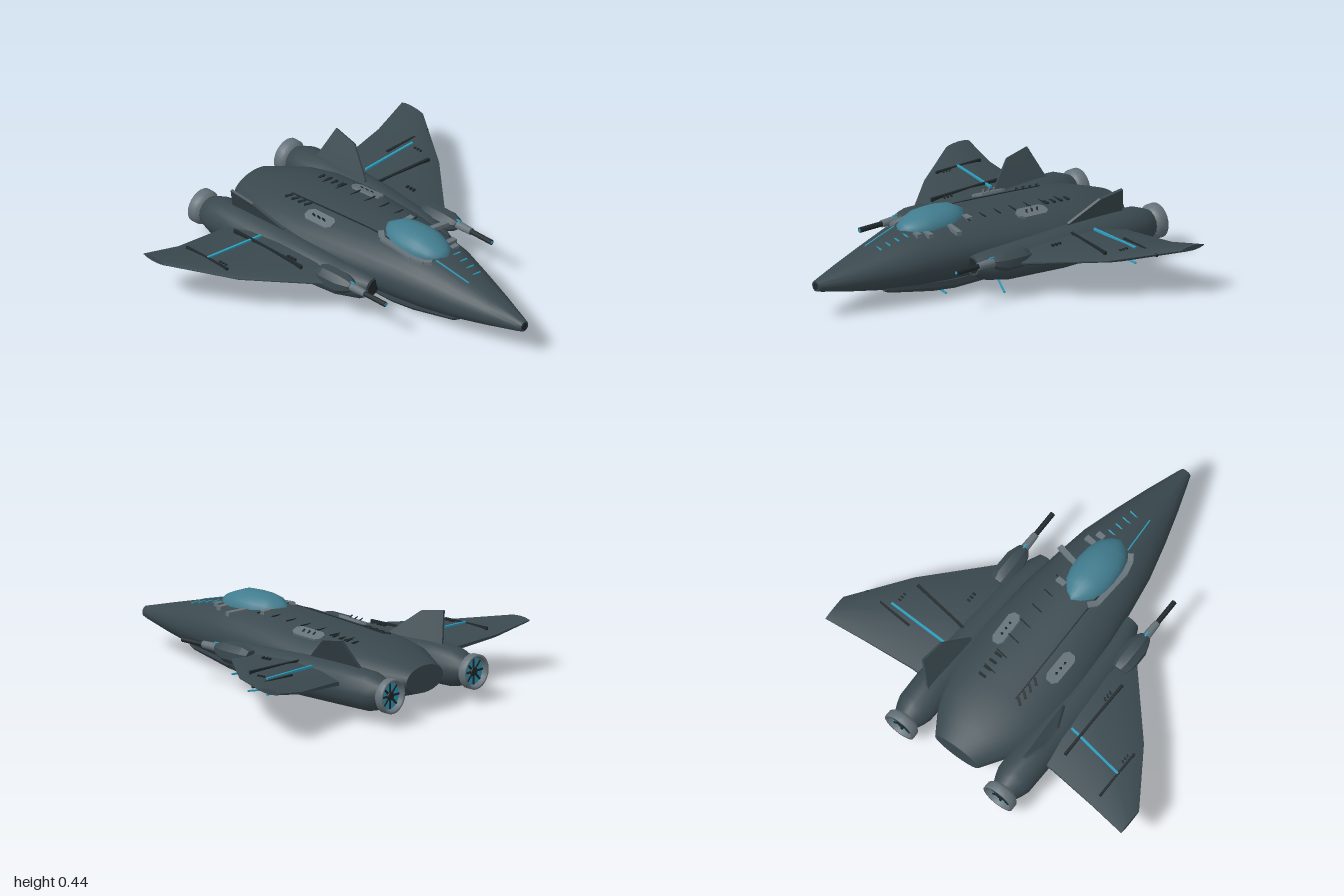
import * as THREE from 'three';
import { toCreasedNormals } from 'three/addons/utils/BufferGeometryUtils.js';

const mat = (name, color, side = THREE.FrontSide) => {
  const m = new THREE.MeshStandardMaterial({ color, side });
  m.name = name;
  return m;
};

// Hull stations: x, half width, bottom y, top y
const HULL = [
  [-0.93, 0.14, 0.12, 0.265], [-0.82, 0.21, 0.085, 0.3], [-0.72, 0.27, 0.065, 0.33], [-0.58, 0.31, 0.06, 0.35],
  [-0.35, 0.32, 0.058, 0.368], [0, 0.28, 0.058, 0.395], [0.23, 0.245, 0.06, 0.395], [0.42, 0.213, 0.07, 0.38],
  [0.62, 0.157, 0.092, 0.328], [0.8, 0.1, 0.125, 0.28], [0.97, 0.04, 0.16, 0.233], [1, 0.028, 0.168, 0.225],
];

// Closed ring of points in the plane at x
function ring(x, cy, cz, ry, rz, n, turn = 0) {
  return Array.from({ length: n }, (_, i) => {
    const a = (i / n) * Math.PI * 2 + turn;
    return [x, cy + ry * Math.sin(a), cz + rz * Math.cos(a)];
  });
}

// Skin a list of rings, cap both ends and turn the faces outward
function loft(rings, crease = 0.6) {
  const n = rings[0].length, pos = rings.flat(2);
  const idx = [];
  for (let s = 0; s < rings.length - 1; s++) for (let i = 0; i < n; i++) {
    const a = s * n + i, b = s * n + (i + 1) % n;
    idx.push(a, b, a + n, b, b + n, a + n);
  }
  const e = (rings.length - 1) * n;
  for (let i = 1; i < n - 1; i++) idx.push(0, i + 1, i, e, e + i, e + i + 1);
  const v = (k) => new THREE.Vector3().fromArray(pos, k * 3);
  let volume = 0;
  for (let i = 0; i < idx.length; i += 3) volume += v(idx[i]).dot(v(idx[i + 1]).cross(v(idx[i + 2])));
  if (volume < 0) idx.reverse();
  const g = new THREE.BufferGeometry();
  g.setAttribute('position', new THREE.Float32BufferAttribute(pos, 3));
  g.setIndex(idx);
  return toCreasedNormals(g, crease);
}

// Height of the upper hull skin
function hullTop(x, z) {
  let i = 0;
  while (i < HULL.length - 2 && HULL[i + 1][0] < x) i++;
  const t = (x - HULL[i][0]) / (HULL[i + 1][0] - HULL[i][0]);
  const [, w, lo, hi] = HULL[i].map((p, k) => THREE.MathUtils.lerp(p, HULL[i + 1][k], t));
  return (lo + hi) / 2 + ((hi - lo) / 2) * Math.sqrt(Math.max(0, 1 - (z / w) ** 2));
}

export function createModel() {
  const hull = mat('hull slate', 0x3a494f);
  const dark = mat('dark trim', 0x20282b);
  const metal = mat('grey metal', 0x66737a);
  const glass = mat('canopy glass', 0x417c8e);
  const glow = mat('cyan light', 0x2a9dbd);

  const model = new THREE.Group();
  const add = (parent, name, geo, m, x = 0, y = 0, z = 0) => {
    const mesh = new THREE.Mesh(geo, m);
    mesh.name = name;
    mesh.position.set(x, y, z);
    parent.add(mesh);
    return mesh;
  };
  // Thin bar between two points
  const bar = (parent, name, a, b, w, h, m) => {
    const A = new THREE.Vector3(...a), B = new THREE.Vector3(...b);
    const mesh = add(parent, name, new THREE.BoxGeometry(w, h, A.distanceTo(B)), m);
    mesh.position.copy(A).add(B).multiplyScalar(0.5);
    mesh.lookAt(B);
    return mesh;
  };
  const tube = (r1, r2, len, n = 16) => new THREE.CylinderGeometry(r2, r1, len, n).rotateZ(-Math.PI / 2);

  // Fuselage and nose cap
  add(model, 'fuselage', loft(HULL.map(([x, w, lo, hi]) => ring(x, (lo + hi) / 2, 0, (hi - lo) / 2, w, 32))), hull);
  add(model, 'noseCap', tube(0.022, 0.02, 0.006), dark, 0.998, 0.196, 0);

  // Canopy
  const canopy = [[0.03, 0.01, 0.395], [0.055, 0.055, 0.41], [0.11, 0.095, 0.44], [0.17, 0.113, 0.447], [0.24, 0.118, 0.449],
    [0.31, 0.112, 0.446], [0.38, 0.09, 0.42], [0.425, 0.055, 0.4], [0.45, 0.01, 0.378]];
  add(model, 'canopy', loft(canopy.map(([x, w, top]) => ring(x, 0.365, 0, top - 0.365, w, 24)), 1), glass);

  for (const s of [1, -1]) {
    const side = new THREE.Group();
    side.name = s > 0 ? 'leftSide' : 'rightSide';
    side.scale.z = s;
    model.add(side);

    // Canopy frame
    const frame = [[0.06, 0.085], [0.1, 0.118], [0.32, 0.126], [0.39, 0.11], [0.425, 0.085]].map(([x, z]) => [x, hullTop(x, z), z]);
    for (let i = 0; i < frame.length - 1; i++) bar(side, 'canopyFrame', frame[i], frame[i + 1], 0.03, 0.022, metal);

    // Hull plate with slots, laid on the hull slope
    const plate = new THREE.Group();
    plate.name = 'hullPlate';
    plate.position.set(-0.285, hullTop(-0.285, 0.175), 0.175);
    plate.rotation.set(Math.atan2(hullTop(-0.285, 0.15) - hullTop(-0.285, 0.2), 0.05), 0, 0.06);
    side.add(plate);
    const outline = new THREE.Shape([[-0.095, -0.018], [-0.07, -0.037], [0.07, -0.037], [0.095, -0.018],
      [0.095, 0.018], [0.07, 0.037], [-0.07, 0.037], [-0.095, 0.018]].map((p) => new THREE.Vector2(...p)));
    add(plate, 'plate', new THREE.ExtrudeGeometry(outline, { depth: 0.016, bevelEnabled: false })
      .rotateX(-Math.PI / 2).translate(0, -0.006, 0), metal);
    for (const x of [-0.035, 0, 0.035])
      bar(plate, 'plateSlot', [x - 0.007, 0.011, 0.016], [x + 0.007, 0.011, -0.016], 0.012, 0.005, dark);

    // Slanted vents and panel seam
    for (let i = 0; i < 4; i++) {
      const x = -0.56 + i * 0.045;
      bar(side, 'vent', [x - 0.012, hullTop(x, 0.14) + 0.002, 0.137], [x + 0.016, hullTop(x, 0.105) + 0.002, 0.103], 0.014, 0.008, dark);
    }
    for (let x = -0.56; x < 0.06; x += 0.1)
      bar(side, 'panelSeam', [x, hullTop(x, 0.097), 0.097], [x + 0.1, hullTop(x + 0.1, 0.097), 0.097], 0.006, 0.006, dark);

    // Nose light lines
    for (let i = 0; i < 4; i++) {
      const p = (k) => { const x = 0.43 + k * 0.053, z = 0.062 - k * 0.0055; return [x, hullTop(x, z), z]; };
      bar(side, 'noseLight', p(i), p(i + 1), 0.007, 0.006, glow);
    }

    // Engine nacelle: x, centre y, centre z, half height, half width
    const nacelle = [[-0.945, 0.175, 0.32, 0.07, 0.07], [-0.9, 0.175, 0.32, 0.09, 0.09], [-0.86, 0.177, 0.32, 0.103, 0.103],
      [-0.7, 0.18, 0.318, 0.108, 0.108], [-0.35, 0.178, 0.318, 0.106, 0.11], [0, 0.175, 0.298, 0.09, 0.095],
      [0.12, 0.18, 0.28, 0.075, 0.072], [0.18, 0.19, 0.268, 0.052, 0.054]];
    add(side, 'nacelle', loft(nacelle.map((n) => ring(...n, 16))), hull);
    add(side, 'intake', tube(0.04, 0.04, 0.01), dark, 0.179, 0.19, 0.268);

    // Exhaust nozzle with glowing core
    const lip = [[0.068, -0.935], [0.078, -0.945], [0.092, -0.96], [0.093, -1], [0.078, -1], [0.07, -0.96]];
    add(side, 'nozzle', new THREE.LatheGeometry(lip.map(([r, x]) => new THREE.Vector2(r, x)).reverse(), 24)
      .rotateZ(-Math.PI / 2), mat2(metal), 0, 0.175, 0.32);
    add(side, 'engineGlow', tube(0.072, 0.072, 0.02, 24), glow, -0.965, 0.175, 0.32);
    add(side, 'engineHub', tube(0.022, 0.026, 0.02), dark, -0.977, 0.175, 0.32);
    for (let i = 0; i < 4; i++)
      add(side, 'engineVane', new THREE.BoxGeometry(0.008, 0.14, 0.01), dark, -0.977, 0.175, 0.32).rotation.x = (i * Math.PI) / 4;

    // Wing sections: z, trailing x, leading x, low y, high y
    const wing = [[0.2, -0.71, 0.2, 0.13, 0.25], [0.455, -0.715, 0, 0.165, 0.265], [0.745, -0.75, -0.32, 0.205, 0.266], [0.96, -0.79, -0.64, 0.266, 0.294]];
    const foil = [[0, 0.2], [0.2, 0.8], [0.45, 1], [0.75, 0.78], [0.92, 0.4], [1, 0.08]];
    add(side, 'wing', loft(wing.map(([z, x0, x1, lo, hi]) => {
      const pt = (up) => ([t, f]) => [x0 + (x1 - x0) * t, (lo + hi) / 2 + up * f * (hi - lo) / 2, z];
      return [...foil.map(pt(1)), ...foil.map(pt(-1)).reverse()];
    }), 0.7), hull);

    // Wing rails, ticks and light lines
    bar(side, 'innerRail', [-0.62, 0.262, 0.465], [-0.14, 0.258, 0.465], 0.014, 0.02, dark);
    bar(side, 'outerRail', [-0.69, 0.262, 0.745], [-0.4, 0.26, 0.745], 0.012, 0.018, dark);
    for (let i = 0; i < 3; i++) {
      bar(side, 'wingTick', [-0.26 + i * 0.022, 0.262, 0.45], [-0.25 + i * 0.022, 0.262, 0.435], 0.009, 0.012, dark);
      bar(side, 'wingTick', [-0.475 + i * 0.02, 0.266, 0.73], [-0.467 + i * 0.02, 0.266, 0.718], 0.008, 0.008, dark);
    }
    bar(side, 'wingLight', [-0.54, 0.268, 0.745], [-0.487, 0.264, 0.405], 0.012, 0.012, glow);
    bar(side, 'wingUnderLight', [-0.54, 0.204, 0.745], [-0.487, 0.165, 0.43], 0.01, 0.008, glow);

    // Canted tail fin
    const fin = [[-0.78, 0.26, 0.303], [-0.71, 0.437, 0.392], [-0.57, 0.412, 0.38], [-0.42, 0.29, 0.305], [-0.44, 0.24, 0.285]];
    add(side, 'tailFin', loft([-0.006, 0.006].map((o) => fin.map(([x, y, z]) => [x, y - o * 0.5, z + o])), 0.3), hull);

    // Gun pod and barrel
    const pod = [[-0.08, 0.23, 0.39, 0.035, 0.045], [-0.04, 0.228, 0.392, 0.055, 0.062], [0.08, 0.23, 0.392, 0.056, 0.06],
      [0.13, 0.235, 0.392, 0.04, 0.042], [0.15, 0.238, 0.394, 0.028, 0.03]];
    add(side, 'gunPod', loft(pod.map((p) => ring(...p, 8, Math.PI / 8)), 0.4), hull);
    add(side, 'gunSleeve', tube(0.024, 0.019, 0.11, 12), metal, 0.19, 0.24, 0.395);
    add(side, 'gunBarrel', tube(0.014, 0.014, 0.155, 12), dark, 0.312, 0.24, 0.395);
    add(side, 'gunMuzzleLight', tube(0.009, 0.009, 0.006, 12), glow, 0.389, 0.24, 0.395);
    add(side, 'podLight', new THREE.BoxGeometry(0.04, 0.008, 0.01), glow, 0.148, 0.264, 0.395);

    // Belly pod with light strip
    const belly = [[-0.7, 0.085, 0.1, 0.02, 0.03], [-0.45, 0.066, 0.092, 0.049, 0.058], [0.18, 0.068, 0.09, 0.05, 0.058],
      [0.32, 0.08, 0.088, 0.047, 0.052], [0.58, 0.112, 0.075, 0.03, 0.034], [0.61, 0.118, 0.074, 0.022, 0.026]];
    add(side, 'bellyPod', loft(belly.map((b) => ring(...b, 10, Math.PI / 10)), 0.5), hull);
    bar(side, 'bellyLight', [-0.42, 0.018, 0.092], [0.18, 0.019, 0.09], 0.01, 0.008, glow);
    bar(side, 'bellyLight', [0.18, 0.019, 0.09], [0.32, 0.034, 0.088], 0.01, 0.008, glow);
  }
  return model;

  // Shared metal shows from both sides for the open nozzle
  function mat2(m) {
    m.side = THREE.DoubleSide;
    return m;
  }
}
